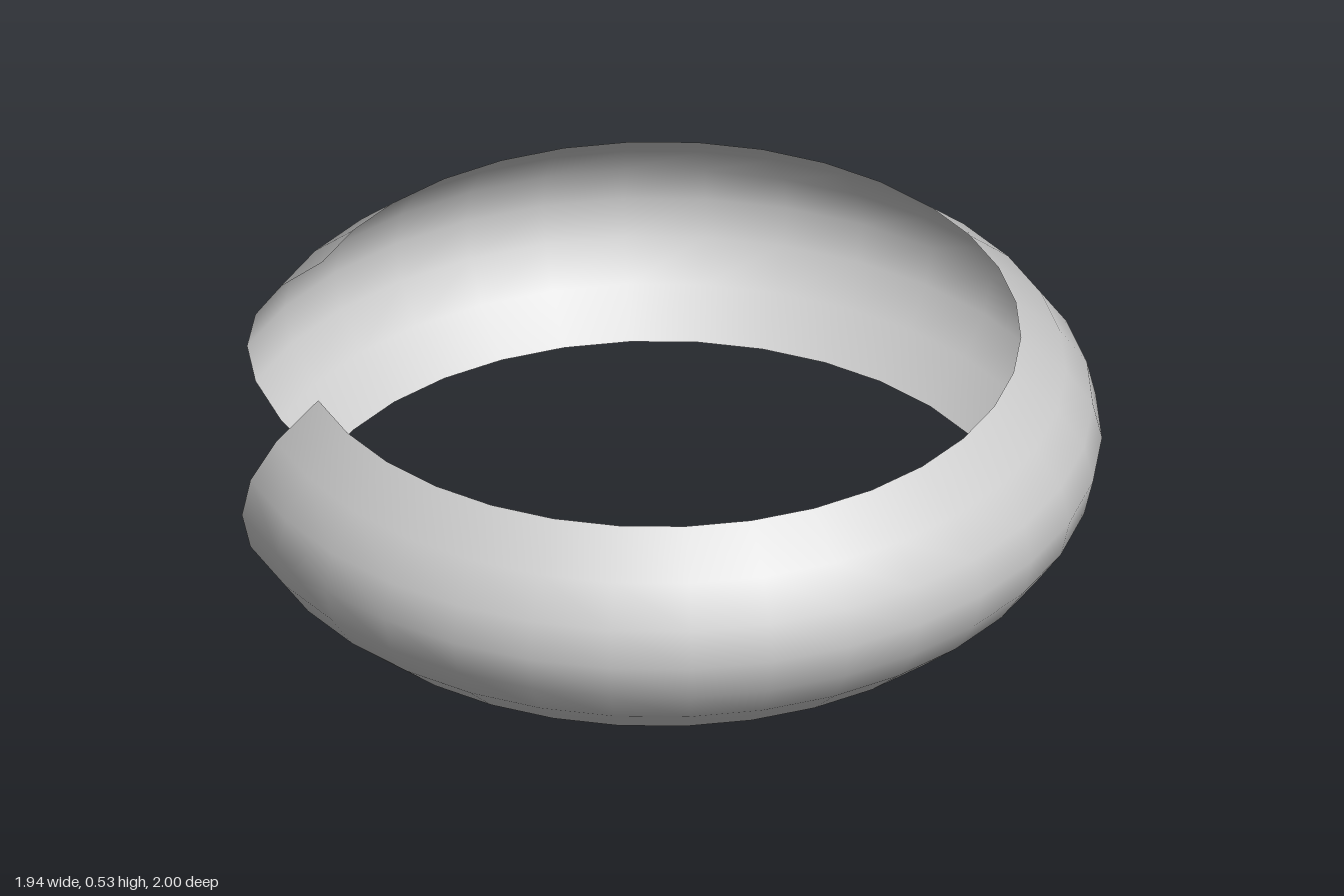
import * as THREE from 'three';

export function createModel() {
  const group = new THREE.Group();
  const grey = new THREE.MeshStandardMaterial({ color: 0xcccccc, side: THREE.DoubleSide });
  grey.name = 'light grey';

  // Bulging band profile: a parabola sampled at even heights
  const radius = 1.004, halfHeight = 0.267, bulge = 0.184, steps = 6;
  const profile = [];
  for (let i = 0; i <= steps; i++) {
    const t = (i / steps) * 2 - 1;
    profile.push(new THREE.Vector2(radius - bulge * t * t, halfHeight * (1 + t)));
  }

  // Open ring swept 318 degrees, with its gap facing -x
  const sweep = THREE.MathUtils.degToRad(318);
  const band = new THREE.Mesh(
    new THREE.LatheGeometry(profile, 30, Math.PI / 2 - sweep / 2, sweep),
    grey
  );
  band.name = 'openBand';
  band.position.x = -0.033;
  group.add(band);
  return group;
}
